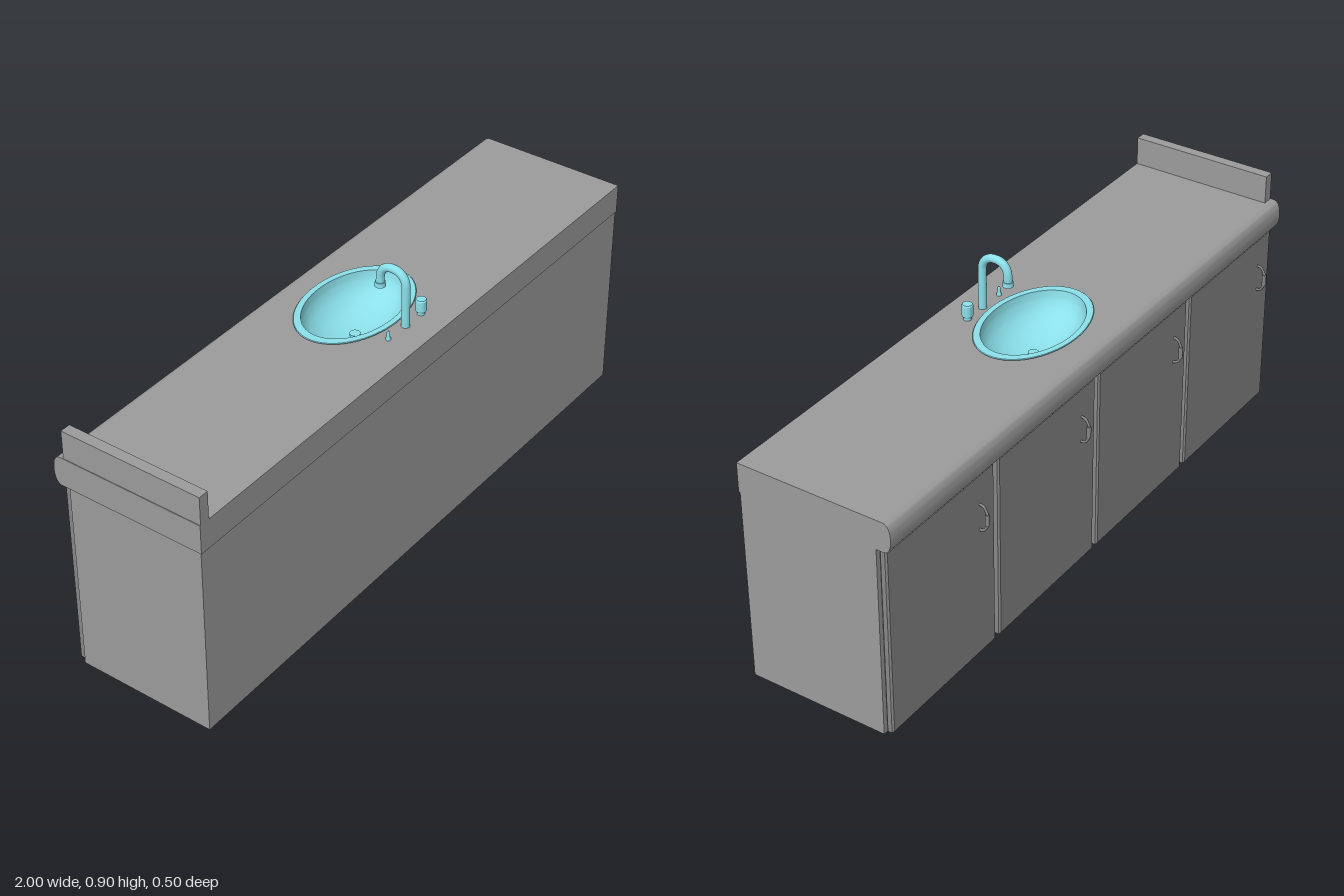
import * as THREE from 'three';
import { toCreasedNormals } from 'three/addons/utils/BufferGeometryUtils.js';

const bodyGrey = new THREE.MeshStandardMaterial({ color: 0x9b9b9b });
const doorGrey = new THREE.MeshStandardMaterial({ color: 0x878787 });
const aqua = new THREE.MeshStandardMaterial({ color: 0x8be0ea });
const aquaThin = new THREE.MeshStandardMaterial({ color: 0x8be0ea, side: THREE.DoubleSide });

function add(parent, name, geometry, material, x = 0, y = 0, z = 0) {
  const mesh = new THREE.Mesh(geometry, material);
  mesh.name = name;
  mesh.position.set(x, y, z);
  parent.add(mesh);
}

// Box given by its limits on each axis
function addBox(parent, name, [x0, x1], [y0, y1], [z0, z1]) {
  add(parent, name, new THREE.BoxGeometry(x1 - x0, y1 - y0, z1 - z0), bodyGrey,
    (x0 + x1) / 2, (y0 + y1) / 2, (z0 + z1) / 2);
}

const group = (parent, name) => {
  const g = new THREE.Group();
  g.name = name;
  parent.add(g);
  return g;
};

const path = (points) => new THREE.CatmullRomCurve3(points.map((p) => new THREE.Vector3(...p)));
const profile = (points) => points.map((p) => new THREE.Vector2(...p));

const SINK = { x: 0.01, z: -0.01, rx: 0.217, rz: 0.146 };
const TOP = 0.71;
const UNDER = 0.617;

function buildCabinet(parent) {
  // Hollow carcass, so the basin can hang inside
  const g = group(parent, 'cabinet');
  const w = 0.998, t = 0.02, back = 0.249, front = -0.193;
  addBox(g, 'bottomPanel', [-w, w], [0, t], [front, back]);
  addBox(g, 'wallPanel', [-w, w], [t, UNDER], [back - t, back]);
  addBox(g, 'doorFrame', [-w, w], [t, UNDER], [front, front + t]);
  for (const s of [-1, 1]) {
    const inner = s * (w - t), outer = s * w;
    addBox(g, 'endPanel', [Math.min(inner, outer), Math.max(inner, outer)], [t, UNDER], [front + t, back - t]);
  }
}

function buildCounter(parent) {
  const g = group(parent, 'counter');

  // Slab with an oval cut-out for the sink
  const slab = new THREE.Shape(profile([[-1, -0.252], [1, -0.252], [1, 0.205], [-1, 0.205]]));
  const hole = new THREE.Path();
  hole.absellipse(SINK.x, -SINK.z, SINK.rx * 0.92, SINK.rz * 0.92, 0, Math.PI * 2, true);
  slab.holes.push(hole);
  const slabGeo = new THREE.ExtrudeGeometry(slab, { depth: TOP - UNDER, bevelEnabled: false, curveSegments: 48 });
  slabGeo.rotateX(-Math.PI / 2);
  add(g, 'counterTop', toCreasedNormals(slabGeo, 0.6), bodyGrey, 0, UNDER, 0);

  // Rounded nosing above the doors
  const nose = new THREE.Shape();
  nose.moveTo(0.205, UNDER);
  nose.lineTo(0.217, UNDER);
  nose.bezierCurveTo(0.233, UNDER, 0.242, 0.635, 0.242, 0.6635);
  nose.bezierCurveTo(0.242, 0.692, 0.233, TOP, 0.217, TOP);
  nose.lineTo(0.205, TOP);
  const noseGeo = new THREE.ExtrudeGeometry(nose, { depth: 2, bevelEnabled: false, curveSegments: 10 });
  noseGeo.rotateY(Math.PI / 2);
  add(g, 'counterNosing', toCreasedNormals(noseGeo, 0.6), bodyGrey, -1, 0, 0);

  addBox(g, 'splashboard', [-0.998, -0.965], [TOP, 0.8], [-0.207, 0.252]);
}

function buildDoors(parent) {
  // Door panel with a small bevel all round
  const b = 0.005, hw = 0.24 - b, hh = 0.301 - b;
  const shape = new THREE.Shape(profile([[-hw, -hh], [hw, -hh], [hw, hh], [-hw, hh]]));
  const doorGeo = new THREE.ExtrudeGeometry(shape, {
    depth: 0.0135, bevelThickness: b, bevelSize: b, bevelSegments: 1,
  });
  // Angular bow with a thicker straight grip
  const handleGeo = new THREE.TubeGeometry(path([
    [0, 0.042, 0.002], [0, 0.041, -0.007], [0, 0.036, -0.016], [0, 0.027, -0.021], [0, 0.018, -0.025],
    [0, -0.018, -0.025], [0, -0.027, -0.021], [0, -0.036, -0.016], [0, -0.041, -0.007], [0, -0.042, 0.002],
  ]), 40, 0.004, 8);
  const gripGeo = new THREE.CylinderGeometry(0.0065, 0.0065, 0.036, 12);

  for (let i = 0; i < 4; i++) {
    const g = group(parent, 'door');
    g.position.set(-0.75 + i * 0.5, 0.309, -0.2185);
    add(g, 'doorPanel', doorGeo, doorGrey, 0, 0, b);
    const handle = group(g, 'handle');
    handle.position.set(-0.17, 0.163, 0);
    add(handle, 'handleBow', handleGeo, doorGrey);
    add(handle, 'handleGrip', gripGeo, doorGrey, 0, 0, -0.025);
  }
}

function buildSink(parent) {
  const g = group(parent, 'sink');
  g.position.set(SINK.x, TOP, SINK.z);

  // Oval rim and bowl: round profiles stretched along x and z
  const rimPoints = profile([[0.92, 0], [0.99, 0.004], [1, 0.006], [0.99, 0.008], [0.875, 0.008], [0.87, 0]]);
  const bowlPoints = new THREE.SplineCurve(profile([[0.02, -0.1], [0.3, -0.094], [0.55, -0.077],
    [0.74, -0.051], [0.84, -0.023], [0.872, 0.001]])).getPoints(20);
  for (const [name, points] of [['sinkRim', rimPoints], ['sinkBowl', bowlPoints]]) {
    const geo = new THREE.LatheGeometry(points, 64);
    geo.scale(SINK.rx, 1, SINK.rz);
    add(g, name, toCreasedNormals(geo, 0.6), aquaThin);
  }
  add(g, 'drain', new THREE.CylinderGeometry(0.016, 0.016, 0.01, 24), aqua, 0, -0.098, 0);
}

function buildTap(parent) {
  const g = group(parent, 'tap');
  g.position.set(SINK.x, TOP, 0.161);

  // Gooseneck spout reaching over the bowl
  const spout = path([[0, 0, 0], [0, 0.06, 0], [0, 0.12, 0], [0, 0.143, -0.002], [0, 0.161, -0.012],
    [0, 0.172, -0.03], [0, 0.1735, -0.045], [0, 0.172, -0.06], [0, 0.161, -0.077], [0, 0.143, -0.086],
    [0, 0.125, -0.088], [0, 0.108, -0.088]]);
  add(g, 'spout', new THREE.TubeGeometry(spout, 56, 0.0125, 16), aqua, 0.005, 0, 0);
  add(g, 'spoutCollar', new THREE.CylinderGeometry(0.015, 0.016, 0.015, 20), aqua, 0.005, 0.108, -0.088);

  // Round control knob with chamfered rims on a short neck
  const knobPoints = profile([[0, 0], [0.012, 0], [0.012, 0.01], [0.0145, 0.01], [0.017, 0.014],
    [0.017, 0.046], [0.0145, 0.05], [0, 0.05]]);
  add(g, 'knob', toCreasedNormals(new THREE.LatheGeometry(knobPoints, 16), 0.5), aqua, 0.08, 0, 0);

  // Small tapered plunger on the other side
  const plungerPoints = profile([[0.0075, 0], [0.0075, 0.006], [0.005, 0.01], [0.005, 0.024], [0.003, 0.028], [0, 0.028]]);
  add(g, 'plunger', new THREE.LatheGeometry(plungerPoints, 12), aqua, -0.077, 0, 0);
}

export function createModel() {
  const model = new THREE.Group();
  model.name = 'sinkCabinet';
  buildCabinet(model);
  buildCounter(model);
  buildDoors(model);
  buildSink(model);
  buildTap(model);
  return model;
}
